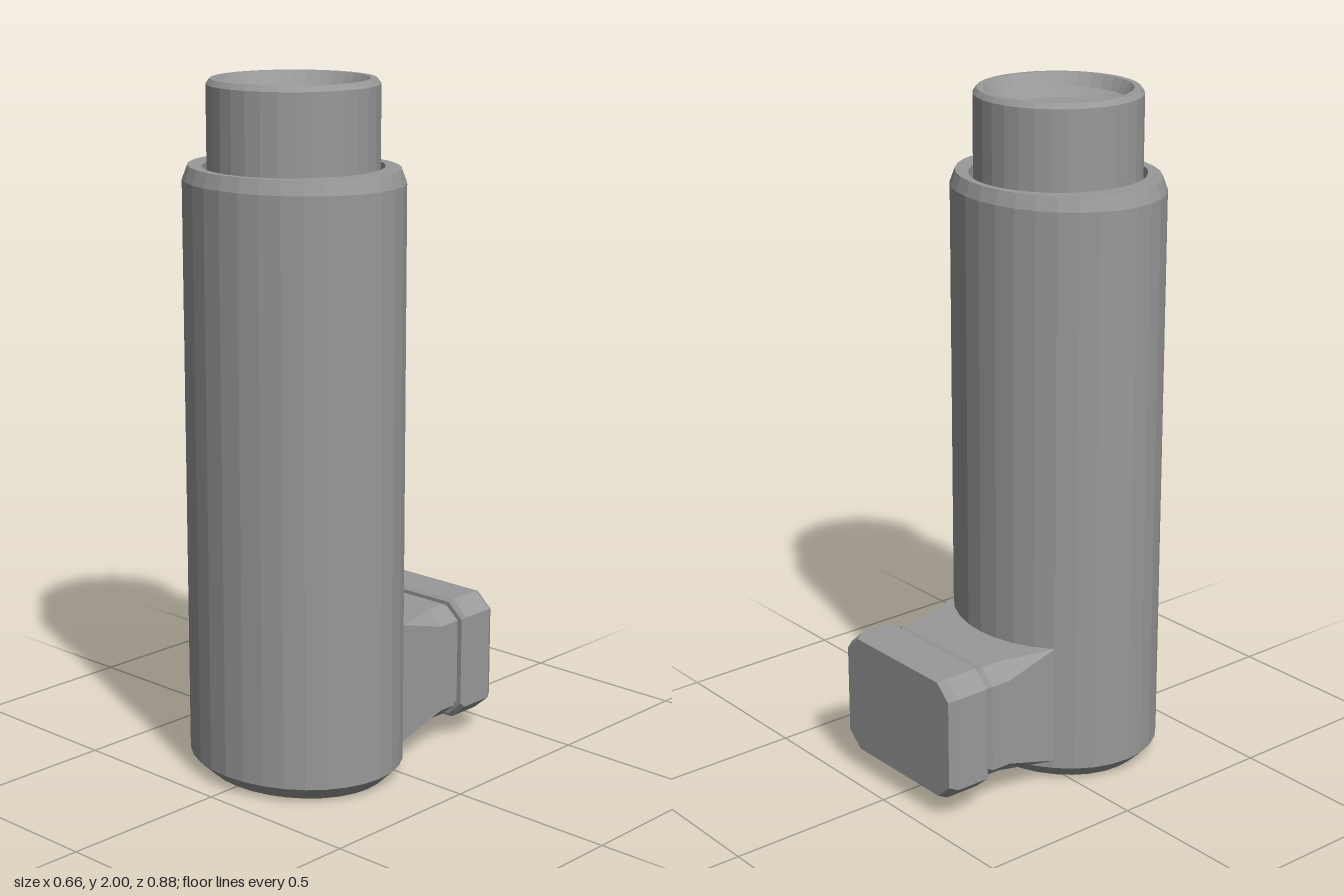
import * as THREE from 'three';

const SEG = 32;
const AXIS_Z = 0.154;

// Skin between successive rings of points, one flat facet per quad
function loft(rings) {
  const pos = [];
  for (let i = 0; i < rings.length - 1; i++) {
    const n = rings[i].length;
    for (let j = 0; j < n; j++) {
      const k = (j + 1) % n;
      const a = rings[i][j], b = rings[i][k], c = rings[i + 1][j], d = rings[i + 1][k];
      for (const tri of [[a, b, c], [b, d, c]]) {
        const [p, q, r] = tri.map(v => new THREE.Vector3(...v));
        if (q.sub(p).cross(r.sub(p)).length() > 1e-9) pos.push(...tri.flat());
      }
    }
  }
  const geo = new THREE.BufferGeometry();
  geo.setAttribute('position', new THREE.Float32BufferAttribute(pos, 3));
  geo.computeVertexNormals();
  return geo;
}

// Horizontal ellipse at height y
const ellipse = ([y, rx, rz = rx]) => Array.from({ length: SEG }, (_, i) => {
  const t = (i / SEG) * Math.PI * 2;
  return [Math.sin(t) * rx, y, AXIS_Z + Math.cos(t) * rz];
});

// Upright rectangle with cut corners at depth z
const MOUTH_Y = 0.25;
const octagon = ([z, w, h, cx, cy = cx]) => [
  [-w + cx, h], [w - cx, h], [w, h - cy], [w, -h + cy],
  [w - cx, -h], [-w + cx, -h], [-w, -h + cy], [-w, h - cy],
].map(([x, y]) => [x, MOUTH_Y + y, z]);

export function createModel() {
  const group = new THREE.Group();
  const grey = new THREE.MeshStandardMaterial({ color: 0x999999, flatShading: true });
  grey.name = 'grey plastic';
  const add = (name, geo) => {
    const mesh = new THREE.Mesh(geo, grey);
    mesh.name = name;
    group.add(mesh);
  };

  // Oval sleeve with bevelled ends and a round socket in the top
  add('body', loft([
    [0, 0, 0], [0, 0.285, 0.242], [0.045, 0.331, 0.288], [1.72, 0.331, 0.288],
    [1.76, 0.316, 0.273], [1.76, 0.253], [1.68, 0.253], [1.68, 0.2],
  ].map(ellipse)));

  // Round canister with a dished end
  add('canister', loft([
    [1.66, 0.24], [1.985, 0.24], [2, 0.229], [2, 0.211],
    [1.965, 0.188], [1.945, 0.122], [1.942, 0],
  ].map(ellipse)));

  // Mouthpiece neck: square at the body, cut corners further out
  add('mouthpiece', loft([
    [-0.02, 0.235, 0.18, 0], [-0.05, 0.235, 0.18, 0],
    [-0.22, 0.235, 0.174, 0.05, 0.042], [-0.282, 0.235, 0.174, 0.05, 0.042],
    [-0.292, 0.226, 0.166, 0.046, 0.038], [-0.32, 0.226, 0.166, 0.046, 0.038],
  ].map(octagon)));

  // Cap over the mouthpiece
  add('mouthpieceCap', loft([
    [-0.304, 0.2, 0.14, 0.04], [-0.304, 0.241, 0.177, 0.05, 0.045],
    [-0.314, 0.251, 0.186, 0.052, 0.045], [-0.42, 0.251, 0.186, 0.052, 0.045],
    [-0.443, 0.237, 0.178, 0.05, 0.045], [-0.443, 0, 0, 0],
  ].map(octagon)));

  return group;
}
